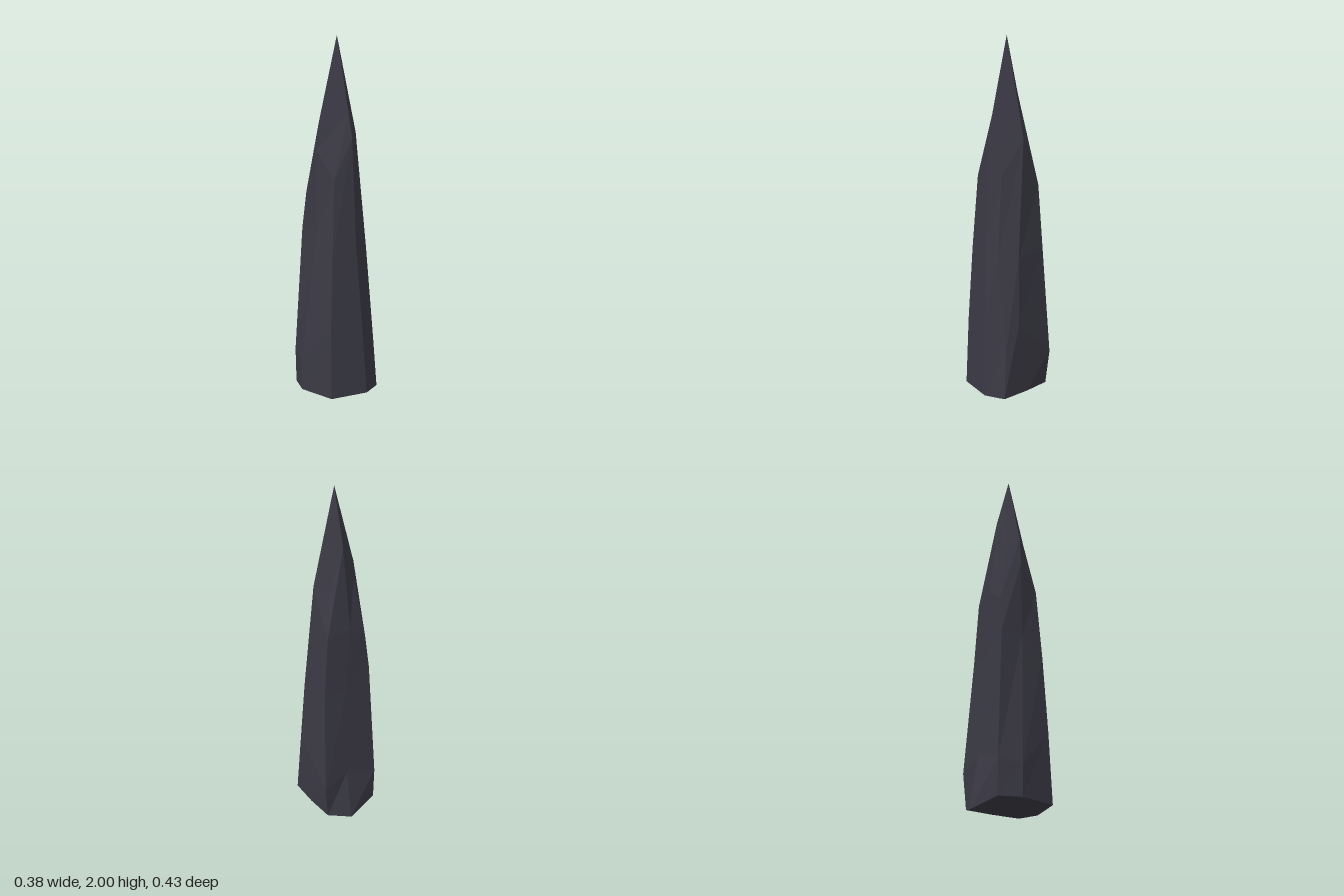
import * as THREE from 'three';

// Each ring runs: front, front left, left, back left, back, back right, right, front right
const RINGS = [
  // foot
  [[0.065, 0.035, 0.212], [0.175, 0.035, 0.165], [0.18, 0.035, 0], [0.17, 0.035, -0.16],
    [0.04, 0, -0.215], [-0.15, 0.035, -0.165], [-0.195, 0.035, -0.045], [-0.145, 0.035, 0.165]],
  // flare
  [[0.045, 0.45, 0.19], [0.165, 0.3, 0.145], [0.19, 0.45, 0.07], [0.19, 0.23, -0.17],
    [0.04, 0.3, -0.165], [-0.155, 0.23, -0.165], [-0.195, 0.2, -0.045], [-0.138, 0.42, 0.15]],
  // shaft
  [[0.02, 0.9, 0.165], [0.1, 0.83, 0.14], [0.175, 0.83, 0.06], [0.165, 0.85, -0.13],
    [0.03, 0.85, -0.138], [-0.125, 0.95, -0.13], [-0.125, 0.95, 0], [-0.115, 0.85, 0.135]],
  // shoulder
  [[0.015, 1.47, 0.135], [0.085, 1.27, 0.105], [0.145, 1.47, 0], [0.138, 1.2, -0.12],
    [0.0, 1.23, -0.127], [-0.1, 1.15, -0.125], [-0.12, 1.4, 0], [-0.09, 1.25, 0.115]],
  // start of the point
  [[0.015, 1.6, 0.102], [0.08, 1.47, 0.068], [0.133, 1.52, 0], [0.085, 1.45, -0.07],
    [0.015, 1.69, -0.08], [-0.06, 1.5, -0.068], [-0.105, 1.55, 0], [-0.06, 1.5, 0.055]],
];
const TIP = [0.015, 2, 0];
const FOOT_CENTRE = [0, 0.035, 0];

function spikeGeometry() {
  const n = RINGS[0].length;
  const corners = [];
  const top = RINGS[RINGS.length - 1];
  for (let i = 0; i < n; i++) {
    const j = (i + 1) % n;
    // side facets between neighbouring rings
    for (let r = 0; r < RINGS.length - 1; r++) {
      const a = RINGS[r], b = RINGS[r + 1];
      corners.push(a[i], a[j], b[j], a[i], b[j], b[i]);
    }
    // point and underside
    corners.push(top[i], top[j], TIP);
    corners.push(FOOT_CENTRE, RINGS[0][j], RINGS[0][i]);
  }
  const geometry = new THREE.BufferGeometry();
  geometry.setAttribute('position', new THREE.Float32BufferAttribute(corners.flat(), 3));
  geometry.computeVertexNormals();
  return geometry;
}

export function createModel() {
  const stone = new THREE.MeshStandardMaterial({ color: 0x3b3a45, flatShading: true });
  stone.name = 'darkStone';
  const spike = new THREE.Mesh(spikeGeometry(), stone);
  spike.name = 'stoneSpike';
  const model = new THREE.Group();
  model.name = 'rockSpire';
  model.add(spike);
  return model;
}
